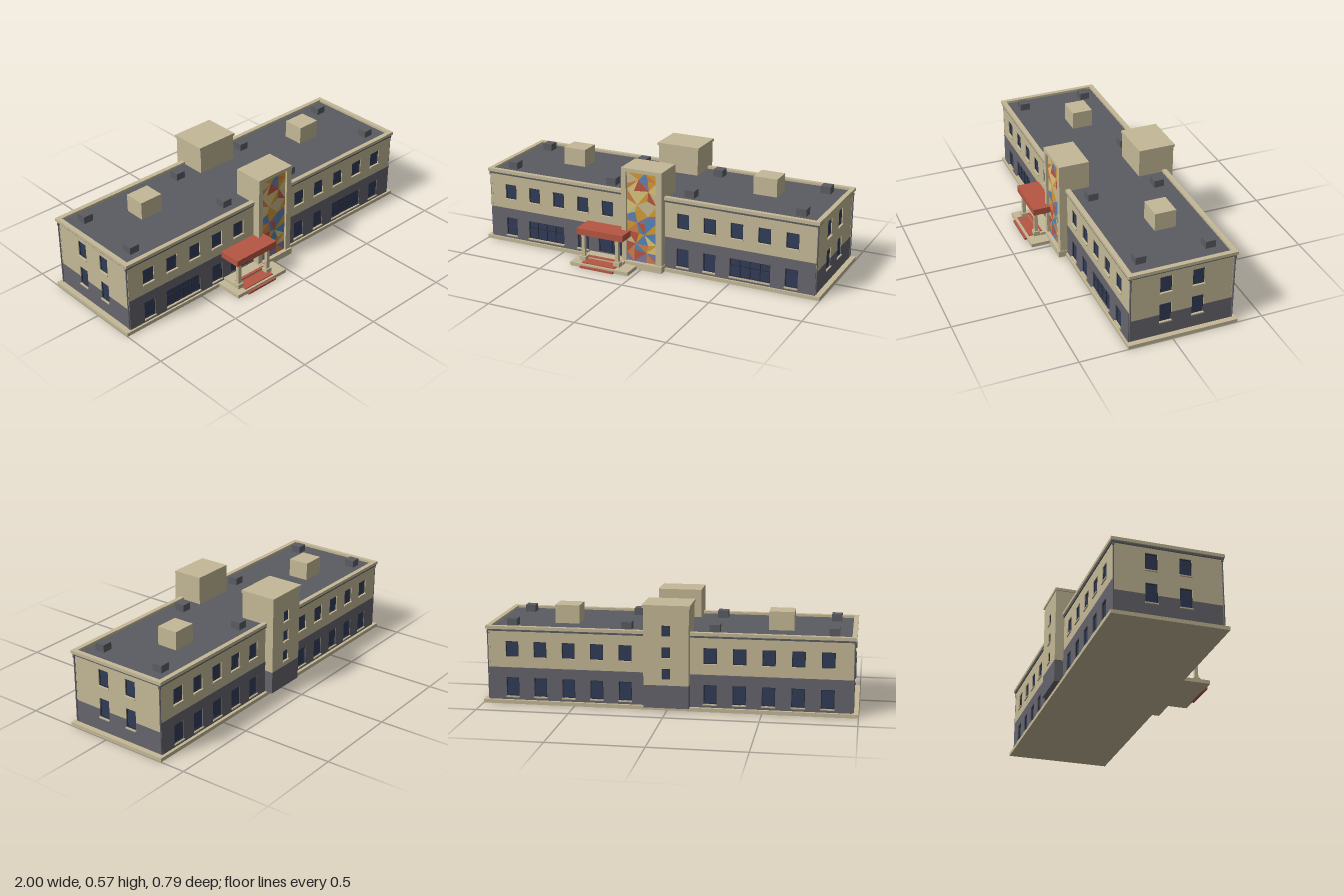
import * as THREE from 'three';

const mat = (color) => new THREE.MeshStandardMaterial({ color });
const cream = mat(0xc4b896), grey = mat(0x66656d), roofGrey = mat(0x5b5c62);
const glass = mat(0x303c58), frame = mat(0x2a2d38), red = mat(0xb75643);

// Box given by its extents on each axis
function box(parent, name, m, x0, x1, y0, y1, z0, z1) {
  const mesh = new THREE.Mesh(new THREE.BoxGeometry(x1 - x0, y1 - y0, z1 - z0), m);
  mesh.position.set((x0 + x1) / 2, (y0 + y1) / 2, (z0 + z1) / 2);
  mesh.name = name;
  parent.add(mesh);
  return mesh;
}

const T = 0.012; // wall thickness, also the depth of the window reveals

// Horizontal strip of wall, broken by openings [centre, width]; outer face at z = d
function strip(g, m, half, d, y0, y1, openings = []) {
  let x = -half;
  for (const [c, w] of [...openings].sort((a, b) => a[0] - b[0])) {
    box(g, 'wallPier', m, x, c - w / 2, y0, y1, d - T, d);
    x = c + w / 2;
  }
  box(g, 'wallPier', m, x, half, y0, y1, d - T, d);
}

// Glass, frame bars, mullions and sill of one window
function addWindow(g, d, c, w, y0, y1, bars = 0, name = 'window', sill = true) {
  const win = new THREE.Group();
  win.name = name;
  g.add(win);
  const x0 = c - w / 2, x1 = c + w / 2, b = 0.004, zf = d - 0.005, zb = d - T - 0.002;
  box(win, 'glass', glass, x0, x1, y0, y1, zb, d - 0.009);
  box(win, 'frameLeft', frame, x0, x0 + b, y0, y1, zb, zf);
  box(win, 'frameRight', frame, x1 - b, x1, y0, y1, zb, zf);
  box(win, 'frameTop', frame, x0, x1, y1 - b, y1, zb, zf);
  box(win, 'frameBottom', frame, x0, x1, y0, y0 + b, zb, zf);
  for (let i = 1; i <= bars; i++) {
    const x = x0 + (w * i) / (bars + 1);
    box(win, 'mullion', frame, x - b / 2, x + b / 2, y0, y1, zb, zf);
  }
  if (bars > 1) {
    const y = y0 + (y1 - y0) * 0.62;
    box(win, 'transom', frame, x0, x1, y - b / 2, y + b / 2, zb, zf);
  }
  if (sill) box(win, 'sill', cream, x0 - 0.002, x1 + 0.002, y0 - 0.007, y0, d - T, d + 0.007);
}

// Triangulated mosaic panel on a jittered grid, one mesh per colour
function mosaic(x0, x1, y0, y1, z) {
  let seed = 11;
  const rnd = () => (seed = (seed * 16807) % 2147483647) / 2147483647;
  const cols = 3, rows = 9, grid = [];
  for (let j = 0; j <= rows; j++) {
    grid.push([]);
    for (let i = 0; i <= cols; i++) {
      const jx = i > 0 && i < cols ? (rnd() - 0.5) * 0.6 : 0;
      const jy = j > 0 && j < rows ? (rnd() - 0.5) * 0.6 : 0;
      grid[j].push([x0 + ((x1 - x0) * (i + jx)) / cols, y0 + ((y1 - y0) * (j + jy)) / rows, z]);
    }
  }
  const colors = [0xd39a35, 0x4f86b8, 0xb9553f, 0xd9c47c, 0x7d78a6, 0xcf7f45, 0xc8b88c];
  const buckets = colors.map(() => []);
  let last = 0;
  const add = (...pts) => {
    last = (last + 1 + Math.floor(rnd() * (colors.length - 1))) % colors.length;
    buckets[last].push(...pts.flat());
  };
  for (let j = 0; j < rows; j++) for (let i = 0; i < cols; i++) {
    const a = grid[j][i], b = grid[j][i + 1], c = grid[j + 1][i + 1], d = grid[j + 1][i];
    if ((i + j) % 2) { add(a, b, c); add(a, c, d); } else { add(a, b, d); add(b, c, d); }
  }
  const g = new THREE.Group();
  g.name = 'mosaic';
  buckets.forEach((pts, k) => {
    const geo = new THREE.BufferGeometry();
    geo.setAttribute('position', new THREE.Float32BufferAttribute(pts, 3));
    geo.computeVertexNormals();
    const mesh = new THREE.Mesh(geo, mat(colors[k]));
    mesh.name = 'mosaicTiles';
    g.add(mesh);
  });
  return g;
}

export function createModel() {
  const root = new THREE.Group();
  root.name = 'building';
  const group = (name) => {
    const g = new THREE.Group();
    g.name = name;
    root.add(g);
    return g;
  };

  // Plinth, solid core and roof slab
  box(root, 'plinth', cream, -1, 1, 0, 0.02, -0.36, 0.24);
  box(root, 'core', grey, -0.957, 0.957, 0.02, 0.4, -0.331, 0.217);
  box(root, 'roof', roofGrey, -0.965, 0.965, 0.398, 0.41, -0.34, 0.226);

  // Long walls: front with door and wide windows, back with plain rows
  const HX = 0.97, DZ = 0.286, CZ = -0.057;
  const xs = [-0.84, -0.687, -0.533, -0.38, -0.226, 0.226, 0.38, 0.533, 0.687, 0.84];
  const plain = xs.map((x) => [x, 0.07]);
  const frontLower = [[-0.84, 0.07], [-0.615, 0.228], [-0.38, 0.07], [-0.205, 0.155],
    [0.226, 0.07], [0.38, 0.07], [0.61, 0.228], [0.84, 0.07]];
  [['frontWall', 0, frontLower], ['backWall', Math.PI, plain]].forEach(([name, ry, lower]) => {
    const g = group(name);
    g.position.z = CZ;
    g.rotation.y = ry;
    strip(g, grey, HX, DZ, 0.02, 0.04);
    strip(g, grey, HX, DZ, 0.04, 0.142, lower);
    strip(g, grey, HX, DZ, 0.142, 0.197);
    strip(g, cream, HX, DZ - 0.002, 0.197, 0.255);
    strip(g, cream, HX, DZ - 0.002, 0.255, 0.34, plain);
    strip(g, cream, HX, DZ - 0.002, 0.34, 0.398);
    plain.forEach(([x, w]) => addWindow(g, DZ - 0.002, x, w, 0.255, 0.34));
    lower.forEach(([x, w]) => {
      const door = w === 0.155;
      addWindow(g, DZ, x, w, 0.04, 0.142, w > 0.2 ? 3 : door ? 1 : 0, door ? 'entranceDoor' : 'window', !door);
    });
  });

  // End walls with a lower grey band that cuts across the ground-floor windows
  [['leftWall', 1], ['rightWall', -1]].forEach(([name, s]) => {
    const g = group(name);
    g.position.z = CZ;
    g.rotation.y = (s * Math.PI) / 2;
    const holes = [[-0.088, 0.064], [0.088, 0.064]], H = DZ - T;
    strip(g, grey, H, HX, 0.02, 0.1);
    strip(g, grey, H, HX, 0.1, 0.143, holes);
    strip(g, cream, H, HX, 0.143, 0.205, holes);
    strip(g, cream, H, HX, 0.205, 0.275);
    strip(g, cream, H, HX, 0.275, 0.367, holes);
    strip(g, cream, H, HX, 0.367, 0.398);
    // corner boards cover the ends of the long walls above the band
    for (const e of [-1, 1]) {
      const m = e * (H + T / 2 - 0.001);
      box(g, 'cornerBoard', cream, m - 0.005, m + 0.006, 0.143, 0.398, HX - 0.01, HX + 0.001);
    }
    holes.forEach(([x, w]) => {
      addWindow(g, HX, x, w, 0.1, 0.205);
      addWindow(g, HX, x, w, 0.275, 0.367);
    });
  });

  // Dark eaves band and raised parapet
  const ring = (name, m, x, z0, z1, y0, y1, t) => {
    const g = group(name);
    box(g, name + 'Front', m, -x, x, y0, y1, z1 - t, z1);
    box(g, name + 'Back', m, -x, x, y0, y1, z0, z0 + t);
    box(g, name + 'Left', m, x - t, x, y0, y1, z0 + t, z1 - t);
    box(g, name + 'Right', m, -x, t - x, y0, y1, z0 + t, z1 - t);
  };
  ring('eavesBand', roofGrey, 0.974, -0.347, 0.232, 0.395, 0.406, 0.03);
  ring('parapet', cream, 0.982, -0.352, 0.236, 0.406, 0.423, 0.026);

  // Downpipes with hoppers at the four corners
  for (const x of [-0.973, 0.973]) for (const z of [-0.339, 0.222]) {
    const pipe = new THREE.Mesh(new THREE.CylinderGeometry(0.004, 0.004, 0.37, 8), grey);
    pipe.position.set(x, 0.21, z);
    pipe.name = 'downpipe';
    root.add(pipe);
    box(root, 'hopper', grey, x - 0.005, x + 0.005, 0.382, 0.397, z - 0.005, z + 0.005);
  }

  // Rooftop housings and small vents
  for (const x of [-0.583, 0.576]) box(root, 'roofHousing', cream, x - 0.067, x + 0.067, 0.405, 0.51, -0.167, -0.05);
  for (const x of [-0.865, -0.24, 0.23, 0.855]) for (const z of [-0.247, 0.13])
    box(root, 'roofVent', roofGrey, x - 0.028, x + 0.028, 0.405, 0.45, z - 0.028, z + 0.028);

  // Front tower framing the mosaic panel
  const tower = group('frontTower');
  box(tower, 'towerBody', cream, -0.118, 0.12, 0.02, 0.564, 0.1, 0.255);
  box(tower, 'towerFrameRight', cream, -0.118, -0.09, 0.02, 0.564, 0.255, 0.27);
  box(tower, 'towerFrameLeft', cream, 0.086, 0.12, 0.02, 0.564, 0.255, 0.27);
  box(tower, 'towerFrameTop', cream, -0.09, 0.086, 0.544, 0.564, 0.255, 0.27);
  box(tower, 'towerFoot', cream, -0.122, 0.124, 0, 0.037, 0.23, 0.28);
  tower.add(mosaic(-0.09, 0.086, 0.037, 0.544, 0.257));

  // Rear stair tower with three small windows
  const stair = group('stairTower');
  stair.rotation.y = Math.PI;
  box(stair, 'stairBase', grey, -0.12, 0.12, 0.02, 0.143, 0.19, 0.39 - T);
  box(stair, 'stairShaft', cream, -0.12, 0.12, 0.143, 0.555, 0.19, 0.39 - T);
  box(stair, 'stairCap', cream, -0.126, 0.126, 0.555, 0.57, 0.187, 0.395);
  strip(stair, grey, 0.12, 0.39, 0.02, 0.143);
  let y = 0.143;
  for (const w of [0.175, 0.29, 0.405]) {
    strip(stair, cream, 0.12, 0.39, y, w);
    strip(stair, cream, 0.12, 0.39, w, w + 0.058, [[0, 0.045]]);
    addWindow(stair, 0.39, 0, 0.045, w, w + 0.058);
    y = w + 0.058;
  }
  strip(stair, cream, 0.12, 0.39, y, 0.555);

  // Entrance porch: platform, steps, posts and canopy
  const porch = group('porch');
  box(porch, 'platform', cream, -0.375, -0.025, 0, 0.02, 0.23, 0.386);
  box(porch, 'landing', cream, -0.335, -0.095, 0.02, 0.035, 0.225, 0.31);
  box(porch, 'lowerStep', red, -0.31, -0.11, 0, 0.011, 0.38, 0.398);
  box(porch, 'middleStep', red, -0.31, -0.11, 0.02, 0.025, 0.31, 0.373);
  box(porch, 'doormat', red, -0.31, -0.11, 0.035, 0.04, 0.295, 0.312);
  for (const x of [-0.319, -0.114]) {
    box(porch, 'postBase', cream, x - 0.018, x + 0.018, 0.02, 0.046, 0.312, 0.347);
    box(porch, 'post', cream, x - 0.01, x + 0.01, 0.046, 0.175, 0.32, 0.339);
  }
  box(porch, 'canopy', red, -0.35, -0.07, 0.174, 0.21, 0.22, 0.354);
  return root;
}
